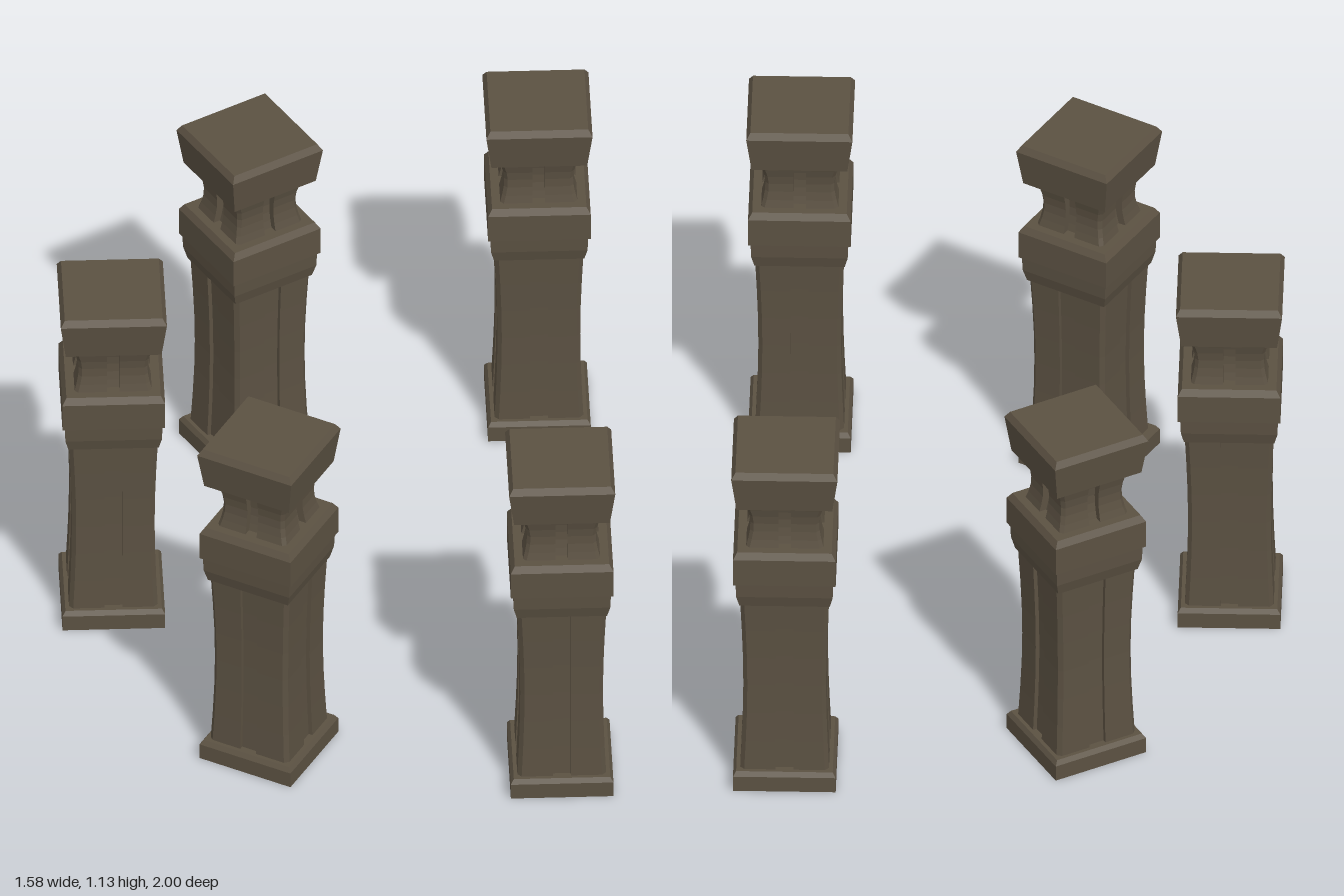
import * as THREE from 'three';

const stone = new THREE.MeshStandardMaterial({ color: 0x5b5142, flatShading: true });
stone.name = 'dark stone';

// Solid square block from [halfWidth, y] rings, bottom to top
function squareBlock(name, rings) {
  const closed = [[0, rings[0][1]], ...rings, [0, rings[rings.length - 1][1]]];
  const pts = closed.map(([h, y]) => new THREE.Vector2(h * Math.SQRT2, y));
  const mesh = new THREE.Mesh(new THREE.LatheGeometry(pts, 4, Math.PI / 4), stone);
  mesh.name = name;
  return mesh;
}

// Four waisted corner posts round a recessed core, leaving a groove down each side
function groovedColumn(name, y0, y1, halfAt, gap, depth, bevel) {
  const group = new THREE.Group();
  group.name = name;
  const steps = 6, h = halfAt(0);
  const shape = new THREE.Shape([
    [gap, gap], [h, gap], [h, h - bevel], [h - bevel, h], [gap, h],
  ].map(([x, y]) => new THREE.Vector2(x, y)));
  const geo = new THREE.ExtrudeGeometry(shape, { depth: y1 - y0, steps, bevelEnabled: false });
  geo.rotateX(-Math.PI / 2);
  // Push the outer faces in and out along the height
  const p = geo.attributes.position;
  for (let i = 0; i < p.count; i++) {
    const d = halfAt(p.getY(i) / (y1 - y0)) - h;
    if (p.getX(i) > gap + 1e-4) p.setX(i, p.getX(i) + d);
    if (p.getZ(i) < -gap - 1e-4) p.setZ(i, p.getZ(i) - d);
  }
  geo.translate(0, y0, 0);
  geo.computeVertexNormals();
  for (let k = 0; k < 4; k++) {
    const post = new THREE.Mesh(geo, stone);
    post.name = 'cornerPost';
    post.rotation.y = k * Math.PI / 2;
    group.add(post);
  }
  const rings = [];
  for (let i = 0; i <= steps; i++) {
    const t = i / steps;
    rings.push([halfAt(t) - depth, y0 + t * (y1 - y0)]);
  }
  group.add(squareBlock('recessedCore', rings));
  return group;
}

function makePillar() {
  const pillar = new THREE.Group();
  pillar.name = 'pillar';
  const waist = (bottom, middle, top) => t =>
    THREE.MathUtils.lerp(bottom, top, t) - ((bottom + top) / 2 - middle) * Math.sin(Math.PI * t);
  pillar.add(
    squareBlock('base', [[0.149, 0], [0.149, 0.05], [0.14, 0.064]]),
    groovedColumn('shaft', 0.06, 0.652, waist(0.129, 0.12, 0.129), 0.026, 0.012, 0.012),
    squareBlock('lowerCollar', [[0.131, 0.648], [0.14, 0.685], [0.142, 0.735]]),
    squareBlock('upperCollar', [[0.149, 0.733], [0.149, 0.822], [0.137, 0.842]]),
    groovedColumn('neck', 0.838, 1.0, waist(0.113, 0.1, 0.119), 0.018, 0.022, 0.01),
    squareBlock('cap', [[0.139, 0.995], [0.154, 1.11], [0.142, 1.13]]),
  );
  return pillar;
}

export function createModel() {
  const model = new THREE.Group();
  model.name = 'pillarRing';
  // x, z, turn in degrees
  const places = [
    [0.633, -0.846, 0], [0.633, 0.846, 0], [-0.635, 0, 0],
    [-0.207, -0.717, 30], [-0.207, 0.713, -30],
  ];
  for (const [x, z, turn] of places) {
    const pillar = makePillar();
    pillar.position.set(x, 0, z);
    pillar.rotation.y = THREE.MathUtils.degToRad(turn);
    model.add(pillar);
  }
  return model;
}
